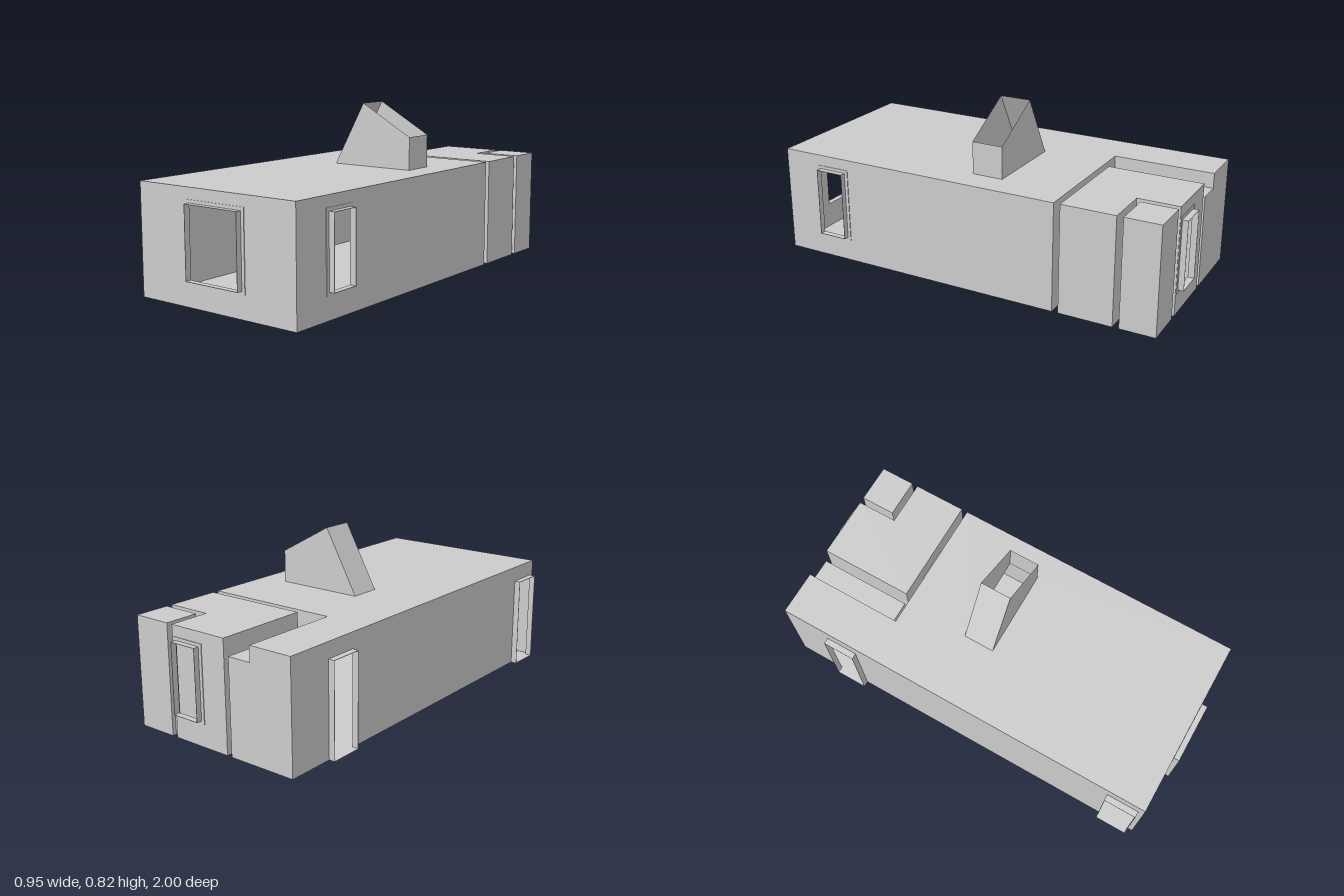
import * as THREE from 'three';
import { mergeGeometries } from 'three/addons/utils/BufferGeometryUtils.js';

const material = new THREE.MeshStandardMaterial({ color: 0xcccccc, side: THREE.DoubleSide, flatShading: true });
const HEIGHT = 0.52;

function mesh(name, geometry) {
  const m = new THREE.Mesh(geometry, material);
  m.name = name;
  return m;
}

// Four-cornered sheet, corners counter-clockwise from its front
function quad(a, b, c, d) {
  const g = new THREE.BufferGeometry();
  g.setAttribute('position', new THREE.Float32BufferAttribute([...a, ...b, ...c, ...a, ...c, ...d], 3));
  g.computeVertexNormals();
  return g;
}

function rect(x0, x1, y0, y1, Type = THREE.Shape) {
  return new Type([[x0, y0], [x1, y0], [x1, y1], [x0, y1]].map(p => new THREE.Vector2(...p)));
}

// Rectangular ring, used for reveals and trims
function ring(x0, x1, y0, y1, width, depth) {
  const shape = rect(x0, x1, y0, y1);
  shape.holes.push(rect(x0 + width, x1 - width, y0 + width, y1 - width, THREE.Path));
  return new THREE.ExtrudeGeometry(shape, { depth, bevelEnabled: false });
}

// Wall from a to b, split into panels round its openings
function wall(a, b, height, openings) {
  const group = new THREE.Group();
  group.name = 'wall';
  const dx = b[0] - a[0], dz = b[1] - a[1];
  const length = Math.hypot(dx, dz);
  const panels = [];
  const panel = (u0, u1, v0, v1) => {
    if (u1 - u0 > 0.001 && v1 - v0 > 0.001)
      panels.push(quad([u0, v0, 0], [u1, v0, 0], [u1, v1, 0], [u0, v1, 0]));
  };
  const along = w => Math.abs(w - (Math.abs(dx) > Math.abs(dz) ? a[0] : a[1]));
  const cuts = openings.map(o => {
    const u = [along(o.from), along(o.to)].sort((p, q) => p - q);
    return { ...o, u0: u[0], u1: u[1] };
  }).sort((p, q) => p.u0 - q.u0);
  let u = 0;
  for (const { u0, u1, low, high, reveal, trim } of cuts) {
    panel(u, u0, 0, height);
    panel(u0, u1, 0, low);
    panel(u0, u1, high, height);
    u = u1;
    if (reveal) group.add(mesh('reveal', ring(u0, u1, low, high, 0.002, 0.03)));
    if (trim) group.add(mesh('windowTrim', ring(u0 - 0.016, u1 + 0.016, low - 0.015, high + 0.015, 0.016, 0.003)));
  }
  panel(u, length, 0, height);
  if (panels.length) group.add(mesh('wallPanels', mergeGeometries(panels)));
  group.position.set(a[0], 0, a[1]);
  group.rotation.y = Math.atan2(-dz, dx);
  return group;
}

// Horizontal sheet over a plan outline; hole is [x0, x1, z0, z1]
function slab(name, plan, y, hole) {
  const shape = new THREE.Shape(plan.map(([x, z]) => new THREE.Vector2(x, -z)));
  if (hole) shape.holes.push(rect(hole[0], hole[1], -hole[3], -hole[2], THREE.Path));
  const m = mesh(name, new THREE.ShapeGeometry(shape).rotateX(-Math.PI / 2));
  m.position.y = y;
  return m;
}

function room({ name, plan, height = HEIGHT, openings = {}, floorHole, ceilingHole }) {
  const group = new THREE.Group();
  group.name = name;
  plan.forEach((p, i) => group.add(wall(p, plan[(i + 1) % plan.length], height, openings[i] || [])));
  group.add(slab('floor', plan, 0, floorHole), slab('ceiling', plan, height, ceilingHole));
  return group;
}

const windowIn = (from, to) => ({ from, to, low: 0.12, high: 0.453, reveal: true, trim: true });
const doorIn = (from, to, high = 0.445, reveal = true) => ({ from, to, low: 0, high, reveal });

// Sloping roof-light shaft, open on its upper slope
function roofLight(z0, z1) {
  const group = new THREE.Group();
  group.name = 'roofLight';
  const profile = [[-0.13, HEIGHT], [0.303, HEIGHT], [0.303, 0.675], [0.037, 0.823]];
  const side = new THREE.ShapeGeometry(new THREE.Shape(profile.map(p => new THREE.Vector2(...p))));
  const front = mesh('shaftFront', side);
  front.position.z = z1;
  const back = mesh('shaftBack', side);
  back.position.z = z0;
  const strip = (p, q) => quad([...p, z1], [...p, z0], [...q, z0], [...q, z1]);
  group.add(front, back,
    mesh('shaftLeft', strip(profile[1], profile[2])),
    mesh('shaftSlope', strip(profile[3], profile[0])));
  return group;
}

export function createModel() {
  const model = new THREE.Group();
  model.name = 'house';
  const rooms = [
    {
      name: 'livingRoom',
      plan: [[-0.448, 0.97], [0.44, 0.97], [0.44, -0.48], [-0.23, -0.48], [-0.23, -0.97], [-0.448, -0.97]],
      openings: {
        0: [windowIn(-0.147, 0.152)],
        1: [windowIn(0.626, 0.77)],
        2: [doorIn(0.06, 0.22, 0.43, false)],
        3: [doorIn(-0.97, -0.51, 0.447, false)],
        5: [doorIn(-0.74, -0.58), doorIn(0.785, 0.945)],
      },
      ceilingHole: [-0.13, 0.303, -0.155, -0.003],
    },
    {
      name: 'bathroom',
      plan: [[-0.085, -0.51], [0.44, -0.51], [0.44, -0.77], [0.22, -0.77], [0.22, -0.97], [-0.085, -0.97]],
      openings: {
        0: [{ ...doorIn(0.06, 0.22, 0.43) }],
        3: [doorIn(-0.95, -0.82, 0.43)],
        4: [windowIn(0.06, 0.2)],
      },
      floorHole: [-0.083, 0.01, -0.78, -0.513],
    },
    {
      name: 'cupboard',
      plan: [[0.25, -0.8], [0.44, -0.8], [0.44, -0.97], [0.25, -0.97]],
      openings: { 3: [doorIn(-0.95, -0.82, 0.43, false)] },
    },
    {
      name: 'wardrobe',
      plan: [[-0.23, -0.51], [-0.11, -0.51], [-0.11, -0.97], [-0.23, -0.97]],
      height: 0.447,
      openings: { 3: [doorIn(-0.97, -0.51, 0.447, false)] },
    },
  ];
  rooms.forEach(r => model.add(room(r)));
  model.add(roofLight(-0.155, -0.003));
  return model;
}
